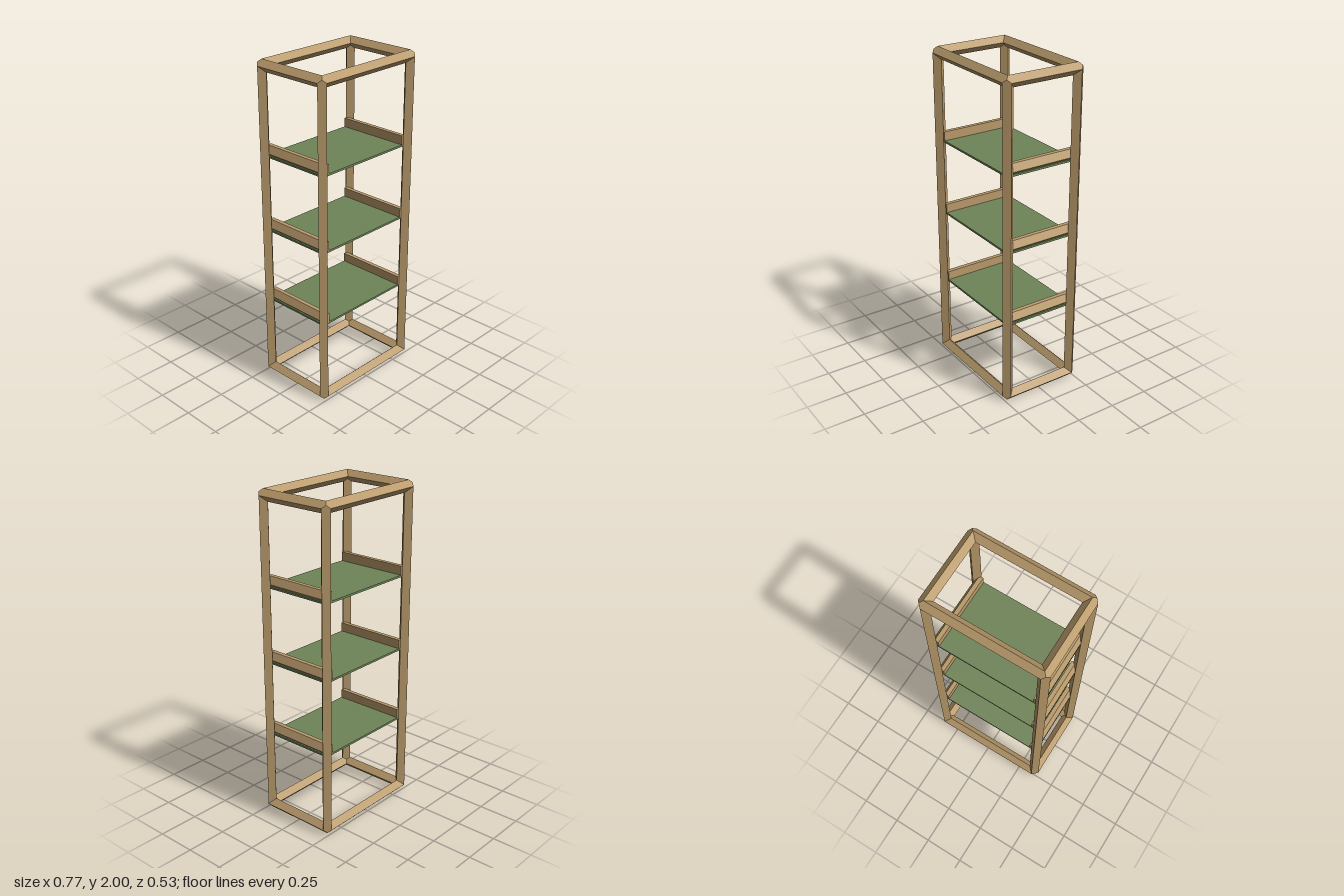
import * as THREE from 'three';
import { ConvexGeometry } from 'three/addons/geometries/ConvexGeometry.js';

const R = 0.035;                       // half diagonal of a frame bar
const HX = 0.35, HZ = 0.228;           // frame centre lines
const Y0 = R + 0.003, Y1 = 2 - R;

export function createModel() {
  const model = new THREE.Group();
  const wood = new THREE.MeshStandardMaterial({ color: 0xb99a6b, flatShading: true });
  const green = new THREE.MeshStandardMaterial({ color: 0x6f8458, flatShading: true });

  const add = (name, geometry, material, x, y, z) => {
    const mesh = new THREE.Mesh(geometry, material);
    mesh.name = name;
    mesh.position.set(x, y, z);
    model.add(mesh);
    return mesh;
  };
  const bar = (length) => new THREE.CylinderGeometry(R, R, length, 4, 1, true);

  // Upright posts with diamond section
  for (const x of [-HX, HX]) for (const z of [-HZ, HZ])
    add('post', bar(Y1 - Y0), wood, x, (Y0 + Y1) / 2, z);

  // Top and bottom rings
  for (const y of [Y0, Y1]) {
    for (const s of [-1, 1]) {
      add('crossBar', bar(2 * HX), wood, 0, y, s * HZ).rotation.z = Math.PI / 2;
      add('sideBar', bar(2 * HZ), wood, s * HX, y, 0).rotation.x = Math.PI / 2;
    }
  }

  // Mitred corners where three diamond bars meet
  const points = [];
  for (const s of [-1, 1]) {
    points.push(new THREE.Vector3(s * R, 0, 0), new THREE.Vector3(0, s * R, 0), new THREE.Vector3(0, 0, s * R));
    for (const t of [-1, 1]) for (const u of [-1, 1])
      points.push(new THREE.Vector3(s, t, u).multiplyScalar(R / 2));
  }
  const corner = new ConvexGeometry(points);
  for (const x of [-HX, HX]) for (const y of [Y0, Y1]) for (const z of [-HZ, HZ])
    add('corner', corner, wood, x, y, z);

  // Shelf rail section: upright inner face, sloped outer face
  const section = new THREE.Shape([
    [0.302, 0], [0.338, 0], [0.35, 0.014], [0.328, 0.057], [0.302, 0.057],
  ].map(([x, y]) => new THREE.Vector2(x, y)));
  const rail = new THREE.ExtrudeGeometry(section, { depth: 2 * HZ, bevelEnabled: false });
  rail.translate(0, 0, -HZ);

  // Three shelves, each with a rail on both sides
  for (let i = 0; i < 3; i++) {
    const y = 0.516 + i * 0.462;
    add('shelf', new THREE.BoxGeometry(2 * HX, 0.012, 2 * HZ), green, 0, y, 0);
    add('shelfRail', rail, wood, 0, y + 0.004, 0);
    add('shelfRail', rail, wood, 0, y + 0.004, 0).rotation.y = Math.PI;
  }
  return model;
}
